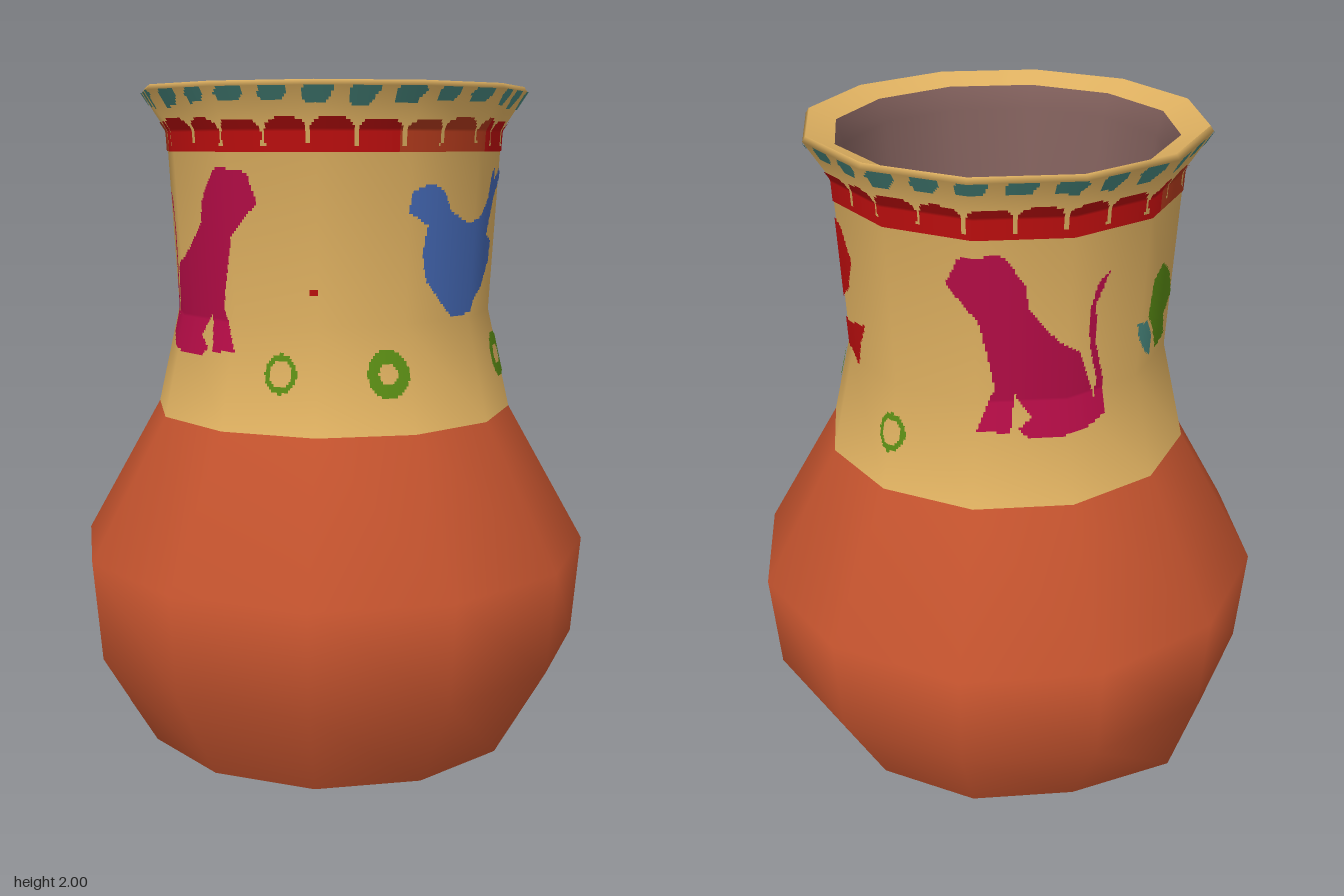
import * as THREE from 'three';

const DEG = Math.PI / 180, SIDES = 12, TWIST = 5 * DEG, STEP = 30 * DEG;
const mat = (name, color) => {
  const m = new THREE.MeshStandardMaterial({ color });
  m.name = name;
  return m;
};

// outer profile [radius, y]; the first three spans are bare clay
const OUTER = [[0.605, 0], [0.77, 0.29], [0.795, 0.6], [0.555, 1.025], [0.485, 1.33], [0.515, 1.87], [0.59, 1.985], [0.58, 2]];
const CLAY_SPANS = 3, FLOOR_Y = 1.33;

// motif outlines as [sideways, y], seen from one direction around the neck
const CAT = [[-0.12, 1.745], [-0.095, 1.77], [0.01, 1.755], [0.04, 1.675], [-0.04, 1.575], [-0.07, 1.45], [-0.085, 1.37],
  [-0.03, 1.25], [-0.125, 1.24], [-0.14, 1.35], [-0.185, 1.28], [-0.145, 1.25], [-0.175, 1.225], [-0.345, 1.23],
  [-0.38, 1.28], [-0.35, 1.37], [-0.32, 1.465], [-0.255, 1.51], [-0.175, 1.605], [-0.165, 1.675]];
const TAIL = [[-0.405, 1.69], [-0.37, 1.665], [-0.345, 1.58], [-0.35, 1.475], [-0.375, 1.37], [-0.37, 1.31], [-0.34, 1.27],
  [-0.36, 1.24], [-0.405, 1.26], [-0.395, 1.37], [-0.37, 1.475], [-0.365, 1.6]];
const BIRD = [[-0.285, 1.7], [-0.215, 1.725], [-0.165, 1.7], [-0.14, 1.645], [-0.075, 1.61], [0.02, 1.625], [0.09, 1.675],
  [0.115, 1.745], [0.145, 1.76], [0.15, 1.725], [0.2, 1.76], [0.215, 1.735], [0.155, 1.675], [0.095, 1.565], [0.15, 1.545],
  [0.14, 1.485], [0.075, 1.415], [-0.005, 1.38], [-0.04, 1.345], [-0.115, 1.34], [-0.215, 1.45], [-0.235, 1.53],
  [-0.22, 1.605], [-0.29, 1.645]];
const FISH = [[-0.06, 1.765], [0.04, 1.79], [0.115, 1.745], [0.15, 1.65], [0.12, 1.56], [0.05, 1.48], [0.1, 1.45],
  [0.185, 1.465], [0.15, 1.395], [0.13, 1.32], [0.08, 1.38], [-0.01, 1.415], [-0.06, 1.5], [-0.14, 1.52], [-0.17, 1.64], [-0.12, 1.72]];
const FISH_PATCH = [[-0.08, 1.66], [-0.05, 1.67], [-0.035, 1.55], [-0.06, 1.5], [-0.09, 1.58]];
const LEAF = [[0.03, 1.6], [0.1, 1.63], [0.17, 1.58], [0.2, 1.5], [0.15, 1.45], [0.17, 1.38], [0.1, 1.36], [0.06, 1.44], [0.01, 1.5]];
const LEAF_TIP = [[-0.06, 1.5], [0, 1.49], [0.05, 1.42], [0.05, 1.36], [0, 1.39], [-0.05, 1.45]];

// radius of the profile and its slope at height y
function profileAt(y) {
  let i = 0;
  while (i < OUTER.length - 2 && y > OUTER[i + 1][1]) i++;
  const [r0, y0] = OUTER[i], [r1, y1] = OUTER[i + 1], slope = (r1 - r0) / (y1 - y0);
  return [r0 + slope * (y - y0), slope];
}

// distance from the axis to the twelve-sided surface
function radiusAt(a, y) {
  const t = (((a - TWIST) % STEP) + STEP) % STEP - STEP / 2;
  return profileAt(y)[0] * Math.cos(STEP / 2) / Math.cos(t);
}

function inside(x, y, pts) {
  let hit = false;
  for (let i = 0, j = pts.length - 1; i < pts.length; j = i++) {
    const [xi, yi] = pts[i], [xj, yj] = pts[j];
    if ((yi > y) !== (yj > y) && x < (xj - xi) * (y - yi) / (yj - yi) + xi) hit = !hit;
  }
  return hit;
}

// outline projected onto the neck from the given direction
const motif = (dir, pts) => (a, y) =>
  Math.cos(a - dir * DEG) > 0 && inside(radiusAt(a, y) * Math.sin(dir * DEG - a), y, pts);
const arc = (a, b) => Math.atan2(Math.sin(a - b), Math.cos(a - b));
const either = (...tests) => (a, y) => tests.some((t) => t(a, y));

// thin painted skin made of small cells wherever test(angle, y) holds
function paint(test, yMin, yMax, lift = 0.004) {
  const pos = [], nor = [], index = [], cols = 500, da = 2 * Math.PI / cols;
  const rows = Math.round((yMax - yMin) / 0.008), dy = (yMax - yMin) / rows;
  for (let i = 0; i < cols; i++) for (let j = 0; j < rows; j++) {
    const a = i * da, y = yMin + j * dy;
    if (!test(a + da / 2, y + dy / 2)) continue;
    const k = pos.length / 3;
    for (const [u, v] of [[a + da, y], [a, y], [a, y + dy], [a + da, y + dy]]) {
      const r = radiusAt(u, v) + lift, n = new THREE.Vector3(Math.cos(u), -profileAt(v)[1], Math.sin(u)).normalize();
      pos.push(r * Math.cos(u), v, r * Math.sin(u));
      nor.push(n.x, n.y, n.z);
    }
    index.push(k, k + 1, k + 2, k, k + 2, k + 3);
  }
  const g = new THREE.BufferGeometry();
  g.setAttribute('position', new THREE.Float32BufferAttribute(pos, 3));
  g.setAttribute('normal', new THREE.Float32BufferAttribute(nor, 3));
  g.setIndex(index);
  return g;
}

const turn = (pts) => new THREE.LatheGeometry(pts.map(([r, y]) => new THREE.Vector2(r, y)), SIDES, 25 * DEG);

// the foot bulges a little on one side
function bulgeFoot(g) {
  const p = g.attributes.position;
  for (let i = 0; i < p.count; i++) {
    const a = Math.atan2(p.getZ(i), p.getX(i)) / DEG, angle = (a + 360) % 360;
    if (Math.abs(p.getY(i)) < 0.001 && angle > 140 && angle < 200) {
      p.setX(i, p.getX(i) * 1.125);
      p.setZ(i, p.getZ(i) * 1.125);
    }
  }
  return g;
}

export function createModel() {
  const group = new THREE.Group();
  const clay = mat('terracotta', 0xc8552f), ochre = mat('ochre', 0xdeb060), mauve = mat('mauve', 0x84625e);
  const crimson = mat('crimson', 0xb40c46), red = mat('red', 0xbb0e0e), blue = mat('blue', 0x4468b4);
  const teal = mat('teal', 0x4a8a80), green = mat('green', 0x5a8c14), rust = mat('rust', 0xb23a1c);
  const add = (name, geometry, material) => {
    const m = new THREE.Mesh(geometry, material);
    m.name = name;
    group.add(m);
  };

  // outer wall: clay belly and ochre neck
  const shell = bulgeFoot(turn(OUTER)), spans = OUTER.length - 1;
  for (let i = 0; i < SIDES; i++) {
    shell.addGroup(i * spans * 6, CLAY_SPANS * 6, 0);
    shell.addGroup((i * spans + CLAY_SPANS) * 6, (spans - CLAY_SPANS) * 6, 1);
  }
  add('bellyAndNeck', shell, [clay, ochre]);
  add('base', bulgeFoot(new THREE.CircleGeometry(0.605, SIDES, TWIST).rotateX(Math.PI / 2)), clay);

  // mouth, inner wall and inner floor
  add('lip', turn([[0.58, 2], [0.5, 1.97]]), ochre);
  add('innerWall', turn([[0.5, 1.97], [0.48, 1.9], [0.44, FLOOR_Y]]), mauve);
  add('innerFloor', new THREE.CircleGeometry(0.44, SIDES, -TWIST).rotateX(-Math.PI / 2).translate(0, FLOOR_Y, 0), ochre);

  // stripes on the inner floor, as [x, z]
  const stripe = (name, pts, material) => add(name, new THREE.ShapeGeometry(
    new THREE.Shape(pts.map(([x, z]) => new THREE.Vector2(x, -z)))).rotateX(-Math.PI / 2).translate(0, FLOOR_Y + 0.004, 0), material);
  stripe('floorCrimsonStripe', [[0.1, -0.42], [-0.1, -0.3], [-0.27, -0.11], [-0.33, 0.08], [-0.37, 0.21], [-0.29, 0.31],
    [-0.16, 0.39], [-0.18, 0.3], [-0.19, 0.1], [-0.13, -0.1], [0.02, -0.28], [0.18, -0.39]], crimson);
  stripe('floorRedStripe', [[0.29, -0.31], [0.16, -0.2], [0.09, 0], [0.11, 0.2], [0.19, 0.37], [0.26, 0.33], [0.36, 0.23],
    [0.27, 0.12], [0.21, -0.02], [0.24, -0.18], [0.33, -0.27]], red);
  stripe('floorBluePatch', [[0.36, -0.23], [0.31, -0.1], [0.33, 0], [0.42, 0.07], [0.42, -0.03], [0.4, -0.16]], blue);
  stripe('floorTealStripe', [[-0.38, -0.17], [-0.28, -0.31], [-0.2, -0.37], [-0.26, -0.28]], teal);

  // animals around the neck
  const flip = (pts) => pts.map(([x, y]) => [-x - 0.2, y]);
  add('frontCat', paint(either(motif(90, CAT), motif(90, TAIL)), 1.2, 1.8), crimson);
  add('backCat', paint(either(motif(225, flip(CAT)), motif(225, flip(TAIL))), 1.2, 1.8), crimson);
  add('bird', paint(motif(0, BIRD), 1.3, 1.8), blue);
  add('fish', paint(motif(-45, FISH), 1.3, 1.8), red);
  add('fishPatch', paint(motif(-45, FISH_PATCH), 1.48, 1.7, 0.007), rust);
  add('leaf', paint(motif(180, LEAF), 1.34, 1.66), green);
  add('leafTip', paint(motif(180, LEAF_TIP), 1.34, 1.54, 0.006), teal);

  // small rings and a dot below the animals
  const rings = [[77, 0.03, 0.045], [42, 0.025, 0.055], [-21, 0.025, 0.055], [-85, 0.03, 0.045]];
  add('rings', paint((a, y) => rings.some(([c, r0, r1]) => {
    const d = Math.hypot(arc(a, c * DEG) * 0.47, (y - 1.195) * 0.8);
    return d > r0 && d < r1;
  }), 1.12, 1.27), green);
  add('dot', paint((a, y) => Math.hypot(arc(a, 66 * DEG) * 0.48, y - 1.425) < 0.012, 1.4, 1.45), red);

  // scalloped band under the rim, partly rust coloured
  const scallops = (a, y) => {
    const t = arc(a * 24, 0) / 24 / (6.9 * DEG), wave = 0.006 * Math.sin(a * 7);
    return y < 1.828 + wave || Math.abs(t) ** 3 + Math.abs((y - 1.855 - wave / 2) / 0.047) ** 3 < 1;
  };
  const isRust = (a) => Math.abs(arc(a, 19 * DEG)) < 20 * DEG || Math.abs(arc(a, 160 * DEG)) < 18 * DEG;
  add('redBand', paint((a, y) => !isRust(a) && scallops(a, y), 1.81, 1.905), red);
  add('rustBand', paint((a, y) => isRust(a) && scallops(a, y), 1.81, 1.905), rust);

  // teal spots on the flared rim
  add('rimSpots', paint((a, y) => {
    const t = arc(a * 28, 0) / 28, low = 1.942 + 0.008 * Math.sin(a * 5);
    return y > low && Math.abs(t + (y - 1.965) * 0.6) < 4.3 * DEG - Math.abs(y - 1.97) * 0.9;
  }, 1.925, 1.985), teal);

  return group;
}
